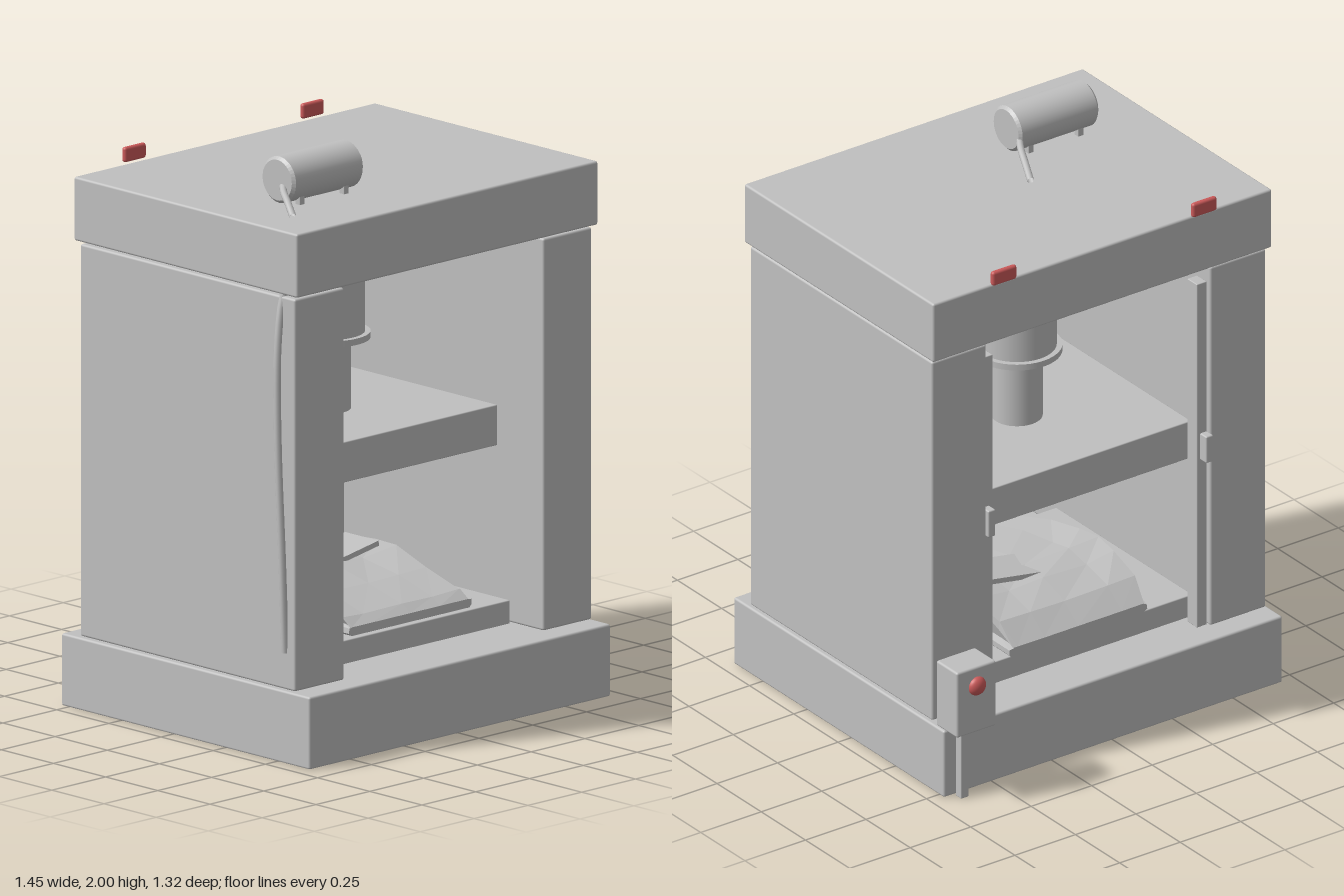
import * as THREE from 'three';
import { RoundedBoxGeometry } from 'three/addons/geometries/RoundedBoxGeometry.js';

const grey = new THREE.MeshStandardMaterial({ color: 0xc0c0c0, side: THREE.DoubleSide });
grey.name = 'grey steel';
const red = new THREE.MeshStandardMaterial({ color: 0xcc5a5a });
red.name = 'red signal';

export function createModel() {
  const model = new THREE.Group();
  model.name = 'hydraulicPress';

  const add = (name, geometry, material = grey) => {
    const mesh = new THREE.Mesh(geometry, material);
    mesh.name = name;
    model.add(mesh);
    return mesh;
  };
  // Softly bevelled box given by its extents
  const boxGeo = (x0, x1, y0, y1, z0, z1, r) =>
    new RoundedBoxGeometry(x1 - x0, y1 - y0, z1 - z0, 2, r)
      .translate((x0 + x1) / 2, (y0 + y1) / 2, (z0 + z1) / 2);
  const box = (name, x0, x1, y0, y1, z0, z1, r = 0.008, material = grey) =>
    add(name, boxGeo(x0, x1, y0, y1, z0, z1, r), material);
  const cylinder = (name, r, y0, y1) =>
    add(name, new THREE.CylinderGeometry(r, r, y1 - y0, 40).translate(0.003, (y0 + y1) / 2, 0.01));
  const tube = (name, r, ...points) => {
    const curve = new THREE.CatmullRomCurve3(points.map((p) => new THREE.Vector3(...p)));
    return add(name, new THREE.TubeGeometry(curve, 24, r, 10));
  };

  // Base: a shell open underneath
  const base = boxGeo(-0.7, 0.7, 0, 0.25, -0.53, 0.66, 0.008);
  const bottom = base.groups[3];
  for (const key of ['position', 'normal', 'uv']) {
    const attr = base.attributes[key], n = attr.itemSize;
    const kept = Array.from(attr.array);
    kept.splice(bottom.start * n, bottom.count * n);
    base.setAttribute(key, new THREE.Float32BufferAttribute(kept, n));
  }
  base.clearGroups();
  add('base', base);

  // Frame
  box('topBeam', -0.7, 0.7, 1.615, 1.835, -0.47, 0.6);
  box('rightColumn', -0.69, -0.46, 0.253, 1.605, -0.45, 0.58);
  box('leftColumn', 0.465, 0.69, 0.253, 1.605, -0.45, 0.58);
  box('bedPlate', -0.46, 0.465, 0.245, 0.33, -0.35, 0.42, 0.004);

  // Guide rails and their sliders at the back
  for (const s of [-1, 1]) {
    const mid = 0.003;
    const span = (a, b) => (s > 0 ? [mid + a, mid + b] : [mid - b, mid - a]);
    box('guideRail', ...span(0.422, 0.463), 0.25, 1.545, -0.43, -0.375, 0.003);
    box('railSlider', ...span(0.435, 0.465), 0.88, 0.98, -0.465, -0.36, 0.005);
  }

  // Ram and moving platen
  box('platen', -0.44, 0.445, 0.86, 1.0, -0.37, 0.38, 0.004);
  cylinder('ramRod', 0.086, 1.0, 1.25);
  cylinder('ramCylinder', 0.133, 1.25, 1.6);
  cylinder('ramLowerFlange', 0.152, 1.245, 1.267);
  cylinder('ramUpperFlange', 0.152, 1.585, 1.615);

  // Accumulator drum with feet and hoses
  const drumProfile = [[0, -0.165], [0.07, -0.165], [0.08, -0.155], [0.08, 0.155], [0.07, 0.165], [0, 0.165]];
  const drum = new THREE.CylinderGeometry(0.08, 0.08, 0.31, 40, 1, true).rotateZ(Math.PI / 2);
  add('drum', drum).position.set(-0.307, 1.92, 0.27);
  for (const s of [-1, 1]) {
    const cap = new THREE.LatheGeometry(
      drumProfile.slice(3).map(([r, h]) => new THREE.Vector2(r, h)), 40);
    const geo = cap.toNonIndexed();
    geo.computeVertexNormals();
    add('drumCap', geo.rotateZ(-s * Math.PI / 2)).position.set(-0.307, 1.92, 0.27);
  }
  for (const x of [-0.41, -0.205])
    for (const z of [0.225, 0.315])
      box('drumFoot', x - 0.011, x + 0.011, 1.83, 1.88, z - 0.011, z + 0.011, 0.002);
  tube('drumHose', 0.012, [-0.16, 1.905, 0.22], [-0.13, 1.892, 0.17], [-0.1, 1.868, 0.1], [-0.075, 1.845, 0.04]);
  tube('drumHose', 0.012, [-0.455, 1.905, 0.28], [-0.49, 1.89, 0.32], [-0.52, 1.87, 0.37], [-0.55, 1.838, 0.425]);

  // Hanging cable on the side
  tube('sideCable', 0.013, [-0.675, 1.612, 0.51], [-0.69, 1.55, 0.51], [-0.709, 1.4, 0.515],
    [-0.716, 1.1, 0.525], [-0.706, 0.7, 0.535], [-0.688, 0.38, 0.53]);

  // Warning lamps
  for (const x of [-0.41, 0.417])
    box('warningLamp', x - 0.05, x + 0.05, 1.838, 1.89, -0.49, -0.47, 0.009, red);

  // Control box on a post
  box('controlPost', 0.625, 0.658, 0, 0.28, -0.57, -0.54, 0.003);
  box('controlBox', 0.56, 0.722, 0.275, 0.52, -0.635, -0.515);
  const button = new THREE.SphereGeometry(0.034, 24, 12, 0, Math.PI * 2, 0, Math.PI / 2)
    .scale(1, 0.7, 1).rotateX(-Math.PI / 2);
  add('stopButton', button, red).position.set(0.64, 0.45, -0.635);

  // Crushed scrap: cross-sections along z, each [z, shoulder height, sideways shift]
  const stations = [[0.4, 0.362, 0], [0.36, 0.39, 0.005], [0.2, 0.435, -0.008], [0.03, 0.475, 0.006],
    [-0.06, 0.48, -0.004], [-0.16, 0.472, 0.004], [-0.28, 0.43, -0.006], [-0.36, 0.365, 0]];
  const rings = stations.map(([z, h, d], i) => {
    const t = (h - 0.36) / 0.12;
    const y = (v) => Math.min(v, h);
    const dent = 0.018 * t * (i % 2 ? 1 : 0.3);
    return [[-0.25, 0.332], [-0.265, 0.342], [-0.262, y(0.36)], [-0.245, y(0.367)], [-0.258, y(0.4)],
      [-0.25 - 0.028 * t + d, h], [-0.16, h - dent], [0.02, h - 0.01 * t], [0.16, h - dent],
      [0.27 + 0.04 * t + d, h], [0.29, y(0.4)], [0.28, y(0.367)], [0.305, y(0.36)], [0.305, 0.342], [0.295, 0.332]]
      .map(([px, py]) => [px, py, z]);
  });
  const verts = [];
  const n = rings[0].length;
  for (let i = 0; i < rings.length - 1; i++)
    for (let j = 0; j < n; j++) {
      const k = (j + 1) % n;
      const [a, b, c, e] = [rings[i][j], rings[i][k], rings[i + 1][k], rings[i + 1][j]];
      verts.push(...a, ...b, ...c, ...a, ...c, ...e);
    }
  for (const [ring, flip] of [[rings[0], true], [rings[rings.length - 1], false]])
    for (let j = 0; j < n; j++) {
      const p = ring[j], q = ring[(j + 1) % n], mid = [0.02, 0.345, p[2]];
      verts.push(...mid, ...(flip ? q : p), ...(flip ? p : q));
    }
  // Reverse the winding of the sides where needed so faces point outwards
  const scrap = new THREE.BufferGeometry();
  scrap.setAttribute('position', new THREE.Float32BufferAttribute(verts, 3));
  const pos = scrap.attributes.position;
  const [A, B, C] = [new THREE.Vector3(), new THREE.Vector3(), new THREE.Vector3()];
  const centre = new THREE.Vector3(0.02, 0.375, 0);
  for (let i = 0; i < pos.count; i += 3) {
    A.fromBufferAttribute(pos, i); B.fromBufferAttribute(pos, i + 1); C.fromBufferAttribute(pos, i + 2);
    const normal = B.clone().sub(A).cross(C.clone().sub(A));
    const out = A.clone().add(B).add(C).divideScalar(3).sub(centre);
    if (normal.dot(out) < 0) {
      pos.setXYZ(i + 1, C.x, C.y, C.z);
      pos.setXYZ(i + 2, B.x, B.y, B.z);
    }
  }
  scrap.computeVertexNormals();
  add('crushedScrap', scrap);

  // Bent roof flap of the scrap
  const flap = add('scrapFlap', new THREE.BoxGeometry(0.3, 0.018, 0.16));
  flap.position.set(0.085, 0.47, -0.05);
  flap.rotation.z = 0.17;

  return model;
}
